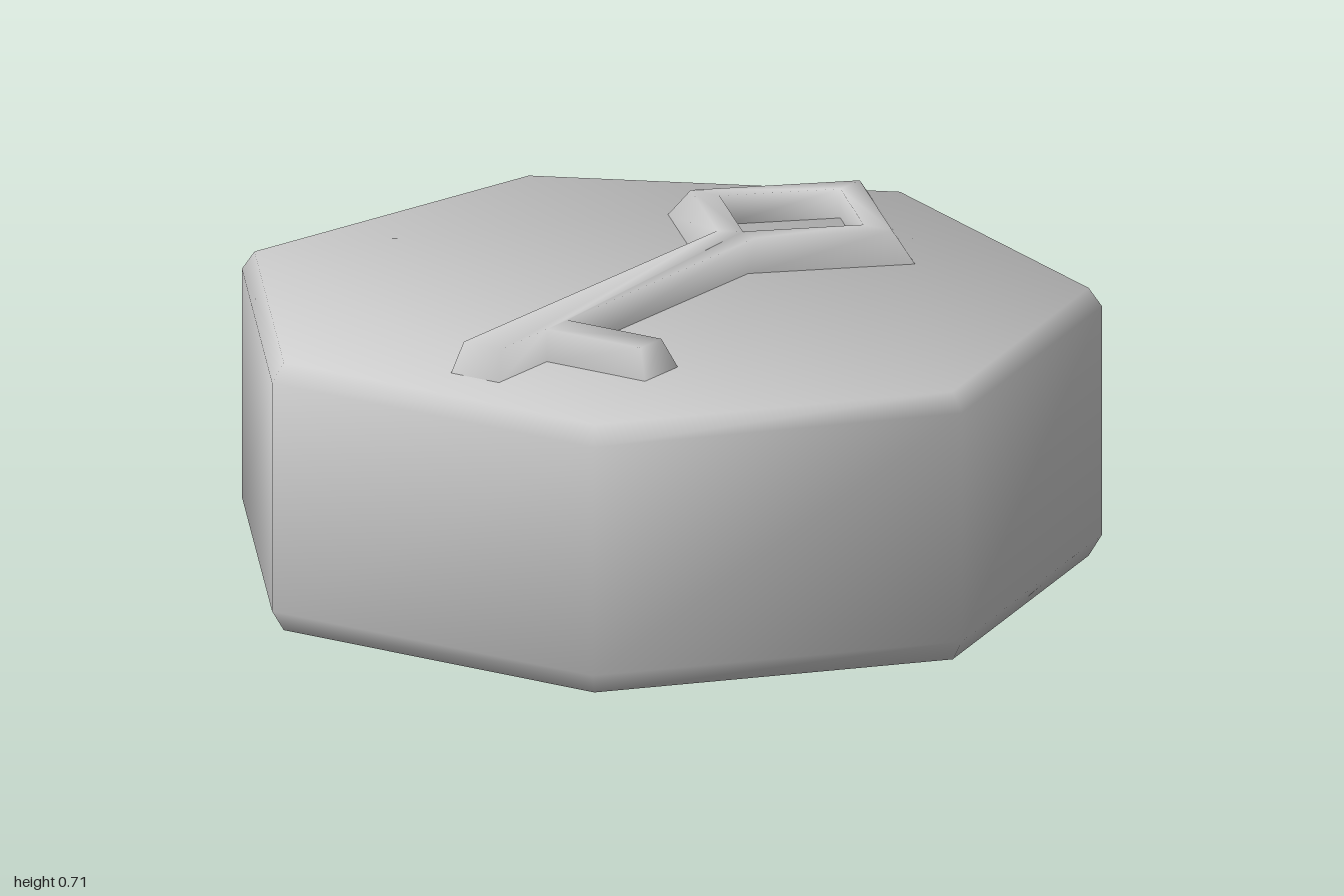
import * as THREE from 'three';

// Smooth normals, weighted by the corner angle of every face
function smoothByAngle(geo) {
  const pos = geo.attributes.position, idx = geo.index.array;
  const sums = Array.from({ length: pos.count }, () => new THREE.Vector3());
  for (let t = 0; t < idx.length; t += 3) {
    const ids = [idx[t], idx[t + 1], idx[t + 2]];
    const p = ids.map((i) => new THREE.Vector3().fromBufferAttribute(pos, i));
    const n = p[1].clone().sub(p[0]).cross(p[2].clone().sub(p[0])).normalize();
    ids.forEach((id, k) => {
      const u = p[(k + 1) % 3].clone().sub(p[k]);
      const v = p[(k + 2) % 3].clone().sub(p[k]);
      sums[id].addScaledVector(n, u.angleTo(v));
    });
  }
  const normals = sums.flatMap((s) => s.normalize().toArray());
  geo.setAttribute('normal', new THREE.Float32BufferAttribute(normals, 3));
  return geo;
}

// Stack of matching plan sections, each { y, loops: [outline, ...holes] }.
// Plan points are [x, -z]; outlines run anticlockwise, holes clockwise.
function loft(sections, closeBottom) {
  const positions = [], index = [];
  const count = sections[0].loops.flat().length;
  for (const { y, loops } of sections) {
    for (const [x, v] of loops.flat()) positions.push(x, y, -v);
  }
  for (let s = 0; s < sections.length - 1; s++) {
    let start = s * count;
    for (const loop of sections[s].loops) {
      for (let i = 0; i < loop.length; i++) {
        const a = start + i, b = start + ((i + 1) % loop.length);
        index.push(a, b, b + count, a, b + count, a + count);
      }
      start += loop.length;
    }
  }
  const cap = (s, flip) => {
    const [outline, ...holes] = sections[s].loops.map((l) => l.map(([x, v]) => new THREE.Vector2(x, v)));
    for (const [a, b, c] of THREE.ShapeUtils.triangulateShape(outline, holes)) {
      const f = flip ? [a, c, b] : [a, b, c];
      index.push(...f.map((i) => i + s * count));
    }
  };
  cap(sections.length - 1, false);
  if (closeBottom) cap(0, true);
  const geo = new THREE.BufferGeometry();
  geo.setAttribute('position', new THREE.Float32BufferAttribute(positions, 3));
  geo.setIndex(index);
  return smoothByAngle(geo);
}

// Seven-sided plan with one corner pointing to the back
function heptagon(r) {
  return Array.from({ length: 7 }, (_, i) => {
    const a = Math.PI / 2 + (i * 2 * Math.PI) / 7;
    return [r * Math.cos(a), r * Math.sin(a) - 0.05];
  });
}

// Key plan: shaft half-width w, bow half-diagonal r, shaft end, tooth tip and tooth edges
function keyPlan(w, r, end, tip, front, back) {
  const bow = 0.5, join = bow - (r - w);
  return [
    [-w, -end], [w, -end], [w, -front], [tip, -front], [tip, -back], [w, -back],
    [w, join], [r, bow], [0, bow + r], [-r, bow], [-w, join],
  ];
}

export function createModel() {
  const group = new THREE.Group();
  group.name = 'keyStone';
  const stone = new THREE.MeshStandardMaterial({ color: 0xcccccc });
  stone.name = 'stone grey';

  // Chamfered block
  const block = new THREE.Mesh(loft([
    { y: 0, loops: [heptagon(0.995)] },
    { y: 0.05, loops: [heptagon(1.026)] },
    { y: 0.6, loops: [heptagon(1.026)] },
    { y: 0.645, loops: [heptagon(0.995)] },
  ], true), stone);
  block.name = 'block';

  // Raised key with sloping sides and a diamond bow
  const hole = [[0, 0.7], [0.2, 0.5], [0, 0.3], [-0.2, 0.5]];
  const key = new THREE.Mesh(loft([
    { y: 0.643, loops: [keyPlan(0.067, 0.345, 0.8, 0.34, 0.603, 0.467), hole] },
    { y: 0.715, loops: [keyPlan(0.052, 0.28, 0.768, 0.312, 0.58, 0.495), hole] },
  ], false), stone);
  key.name = 'raisedKey';

  group.add(block, key);
  return group;
}
